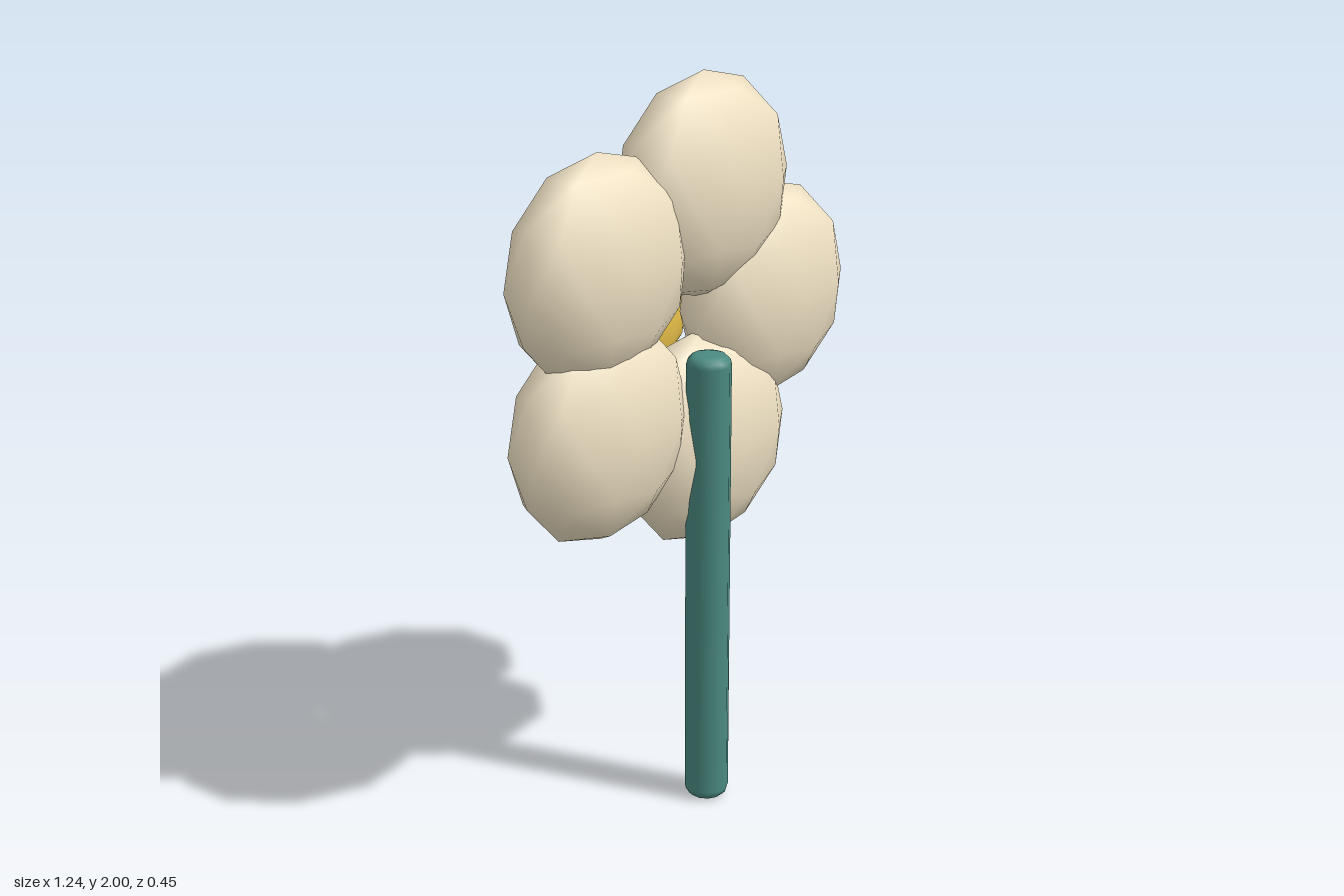
import * as THREE from 'three';

const PETAL = 0xf0e2c4, HEART = 0xf2c94c, STEM = 0x4a8a80;
const CENTRE = new THREE.Vector2(-0.035, 1.35);

const material = (color) => new THREE.MeshStandardMaterial({ color });

// Low-poly ellipsoid with smooth normals and a vertex at each vertical pole
function ellipsoid(rx, ry, rz) {
  const g = new THREE.IcosahedronGeometry(1, 1);
  g.rotateZ(-Math.atan(2 / (1 + Math.sqrt(5))));
  g.scale(rx, ry, rz);
  return g;
}

function addMesh(parent, name, geometry, mat, x, y, z) {
  const mesh = new THREE.Mesh(geometry, mat);
  mesh.name = name;
  mesh.position.set(x, y, z);
  parent.add(mesh);
  return mesh;
}

export function createModel() {
  const flower = new THREE.Group();
  flower.name = 'flower';

  // Ring of five flattened petals, all sharing one orientation
  const petals = new THREE.Group();
  petals.name = 'petals';
  flower.add(petals);
  const petalGeometry = ellipsoid(0.305, 0.303, 0.153);
  const petalMaterial = material(PETAL);
  for (let i = 0; i < 5; i++) {
    const a = (i * 2 * Math.PI) / 5;
    addMesh(petals, `petal${i + 1}`, petalGeometry, petalMaterial,
      CENTRE.x + 0.365 * Math.cos(a), CENTRE.y + 0.365 * Math.sin(a), 0.05);
  }

  // Flower heart on the back of the ring
  addMesh(flower, 'flowerHeart', ellipsoid(0.21, 0.21, 0.113), material(HEART),
    CENTRE.x, CENTRE.y, -0.113);

  // Stem with rounded ends
  const r = 0.06, bevel = 0.027, height = 1.29;
  const profile = [new THREE.Vector2(0, 0)];
  for (const end of [0, 1]) {
    for (let i = 0; i <= 3; i++) {
      const a = -Math.PI / 2 + end * Math.PI / 2 + (i * Math.PI) / 6;
      profile.push(new THREE.Vector2(
        r - bevel + bevel * Math.cos(a),
        (end ? height - bevel : bevel) + bevel * Math.sin(a)));
    }
  }
  profile.push(new THREE.Vector2(0, height));
  const stem = new THREE.LatheGeometry(profile, 12, Math.PI / 12);
  addMesh(flower, 'stem', stem, material(STEM), -0.037, 0, 0.168);

  return flower;
}
